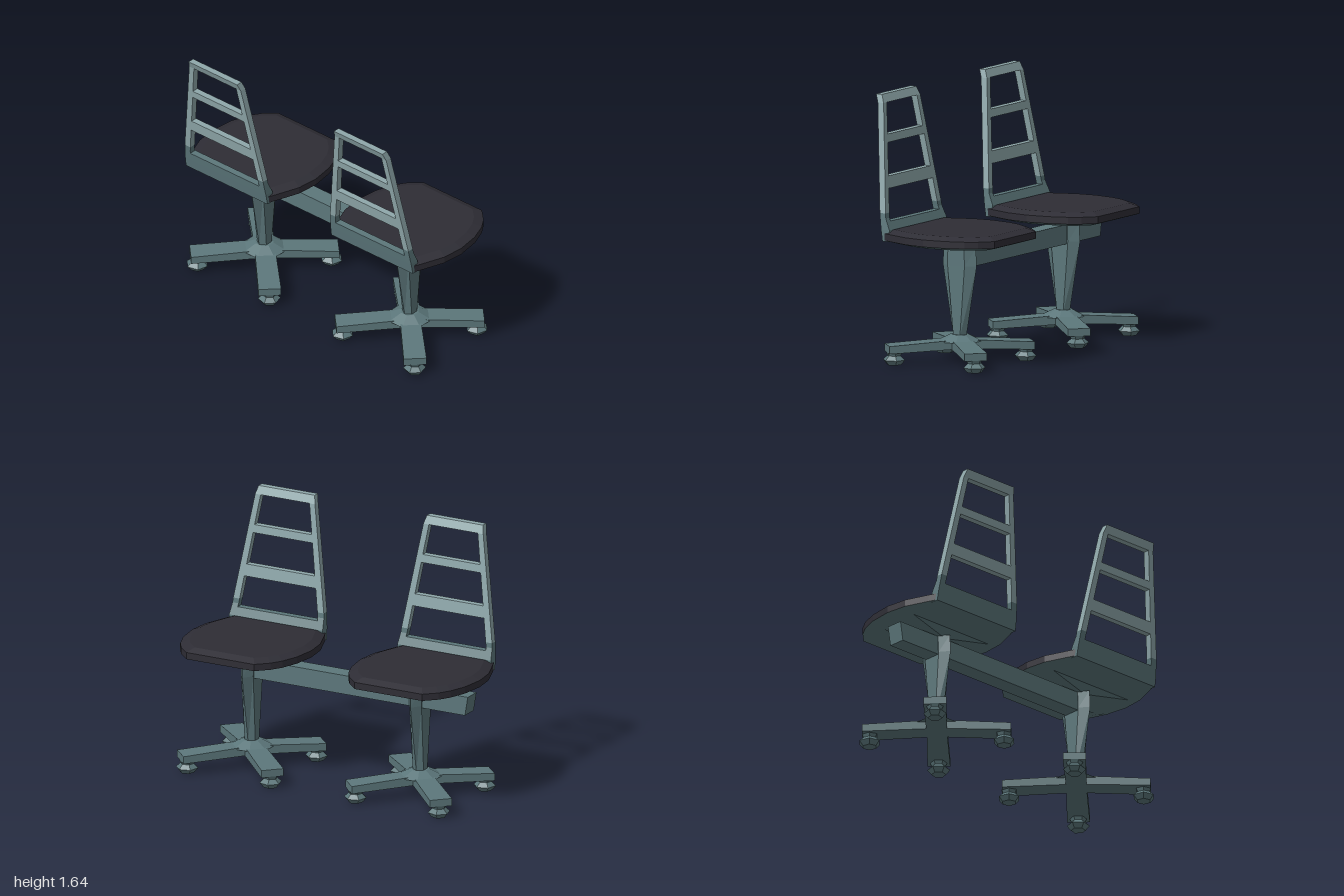
import * as THREE from 'three';

const mat = (name, color) => Object.assign(new THREE.MeshStandardMaterial({ color, flatShading: true }), { name });

// Joins rings (arrays of [x, y, z], counter-clockwise from above, bottom to top) and caps both ends.
function loft(rings) {
  const pos = [];
  const tri = (...p) => p.forEach((v) => pos.push(...v));
  const n = rings[0].length;
  for (let k = 0; k < rings.length - 1; k++) {
    for (let i = 0; i < n; i++) {
      const j = (i + 1) % n, lo = rings[k], hi = rings[k + 1];
      tri(lo[i], lo[j], hi[j]);
      tri(lo[i], hi[j], hi[i]);
    }
  }
  const lo = rings[0], hi = rings[rings.length - 1];
  for (let i = 1; i < n - 1; i++) {
    tri(lo[0], lo[i + 1], lo[i]);
    tri(hi[0], hi[i], hi[i + 1]);
  }
  const g = new THREE.BufferGeometry();
  g.setAttribute('position', new THREE.Float32BufferAttribute(pos, 3));
  g.computeVertexNormals();
  return g;
}

// Straight-line lookup in a list of [y, value].
function lookup(table, y) {
  for (let i = 1; i < table.length; i++) {
    const [y0, a] = table[i - 1], [y1, b] = table[i];
    if (y <= y1) return a + ((b - a) * (y - y0)) / (y1 - y0);
  }
  return table[table.length - 1][1];
}

const rect = (x0, x1, z0, z1, y) => [[x0, y, z1], [x1, y, z1], [x1, y, z0], [x0, y, z0]];
const CX = 0.04; // pedestal axis

// Seat outline, one half mirrored across the middle
const half = [[-0.3, 0.325], [-0.25, 0.345], [-0.1, 0.4], [0.04, 0.415], [0.19, 0.395], [0.3, 0.355], [0.37, 0.31], [0.44, 0.235]];
const outline = [...half, ...half.map(([x, z]) => [x, -z]).reverse()];
const seatRing = (y, s) => outline.map(([x, z]) => [CX + (x - CX) * s, y, z * s]);

// Backrest lean and taper
const backX = [[0.76, -0.31], [0.85, -0.325], [0.93, -0.337], [1.59, -0.42], [1.64, -0.44]];
const frontX = [[0.76, -0.26], [0.83, -0.262], [0.9, -0.292], [1.59, -0.378], [1.64, -0.398]];
const outerZ = [[0.76, 0.328], [0.83, 0.325], [0.93, 0.315], [1.59, 0.208], [1.64, 0.195]];
const innerZ = [[0.76, 0.29], [0.88, 0.278], [1.59, 0.17], [1.64, 0.16]];
const slab = (ys, z0, z1) => loft(ys.map((y) => rect(lookup(backX, y), lookup(frontX, y), z0(y), z1(y), y)));

function createChair(m) {
  const chair = new THREE.Group();
  const add = (name, geo, material, parent = chair) => {
    const mesh = new THREE.Mesh(geo, material);
    mesh.name = name;
    parent.add(mesh);
    return mesh;
  };

  // Seat
  add('seatCushion', loft([seatRing(0.765, 1), seatRing(0.808, 1), seatRing(0.83, 0.87)]), m.seat);
  add('seatUnderside', loft([seatRing(0.745, 0.84), seatRing(0.765, 1)]), m.frame);
  add('seatBracket', loft([
    rect(-0.04, 0.16, -0.04, 0.04, 0.705),
    rect(-0.09, 0.2, -0.35, 0.35, 0.75),
  ]), m.frame);

  // Backrest: two uprights and four rails
  const back = new THREE.Group();
  back.name = 'backrest';
  chair.add(back);
  const out = (y) => lookup(outerZ, y), inn = (y) => lookup(innerZ, y);
  for (const side of [1, -1]) {
    const z0 = side > 0 ? inn : (y) => -out(y);
    const z1 = side > 0 ? out : (y) => -inn(y);
    add('uprightFoot', slab([0.76, 0.83, 0.9, 0.93], z0, z1), m.frame, back);
    add('upright', slab([0.93, 1.59, 1.64], z0, z1), m.rail, back);
  }
  const rail = (name, ys, material) => add(name, slab(ys, (y) => -inn(y), inn), material, back);
  rail('lowerRail', [0.76, 0.83, 0.88], m.frame);
  rail('middleRail', [1.075, 1.15], m.rail);
  rail('upperRail', [1.35, 1.4], m.rail);
  rail('topRail', [1.59, 1.64], m.rail);

  // Six-sided pedestal
  const hex = (y, rx, rz) => [0, 1, 2, 3, 4, 5].map((i) => {
    const a = (i * Math.PI) / 3;
    return [CX + Math.cos(a) * rx, y, (-Math.sin(a) * rz) / 0.866];
  });
  add('pedestal', loft([hex(0.16, 0.047, 0.037), hex(0.6, 0.122, 0.043), hex(0.71, 0.116, 0.045)]), m.frame);

  // Base: hub, four diagonal arms, casters
  const hub = add('hub', new THREE.CylinderGeometry(0.058, 0.14, 0.04, 8), m.frame);
  hub.position.set(CX, 0.155, 0);
  hub.rotation.y = Math.PI / 8;
  const armRing = (y0, y1, tip) => rect(0, tip, -1, 1, 0).map(([x, , z]) => (
    x > 0 ? [x, y1, z * 0.07] : [x, y0, z * 0.062]));
  const armGeo = loft([armRing(0.092, 0.075, 0.453), armRing(0.15, 0.122, 0.453)]);
  const profile = [[0, 0], [0.045, 0], [0.07, 0.03], [0.042, 0.056], [0.052, 0.078]];
  const casterGeo = new THREE.LatheGeometry(profile.map(([r, y]) => new THREE.Vector2(r, y)), 6);
  for (let i = 0; i < 4; i++) {
    const leg = new THREE.Group();
    leg.name = 'baseLeg';
    leg.position.x = CX;
    leg.rotation.y = Math.PI / 4 + (i * Math.PI) / 2;
    add('arm', armGeo, m.frame, leg);
    add('caster', casterGeo, m.frame, leg).position.x = 0.41;
    chair.add(leg);
  }
  return chair;
}

export function createModel() {
  const m = {
    seat: mat('charcoal seat', 0x2e2d35),
    frame: mat('dark teal metal', 0x5c777b),
    rail: mat('pale teal metal', 0x8fa8ab),
  };
  const model = new THREE.Group();
  model.name = 'linkedChairs';

  for (const z of [0.585, -0.585]) {
    const chair = createChair(m);
    chair.name = z > 0 ? 'frontChair' : 'rearChair';
    chair.position.z = z;
    model.add(chair);
  }

  // Beam joining the pedestals, with a slanted rear end
  const beam = new THREE.Mesh(loft([
    rect(-0.018, 0.092, -0.925, 0.57, 0.585),
    rect(-0.018, 0.092, -0.945, 0.57, 0.705),
  ]), m.frame);
  beam.name = 'connectingBeam';
  model.add(beam);
  return model;
}
